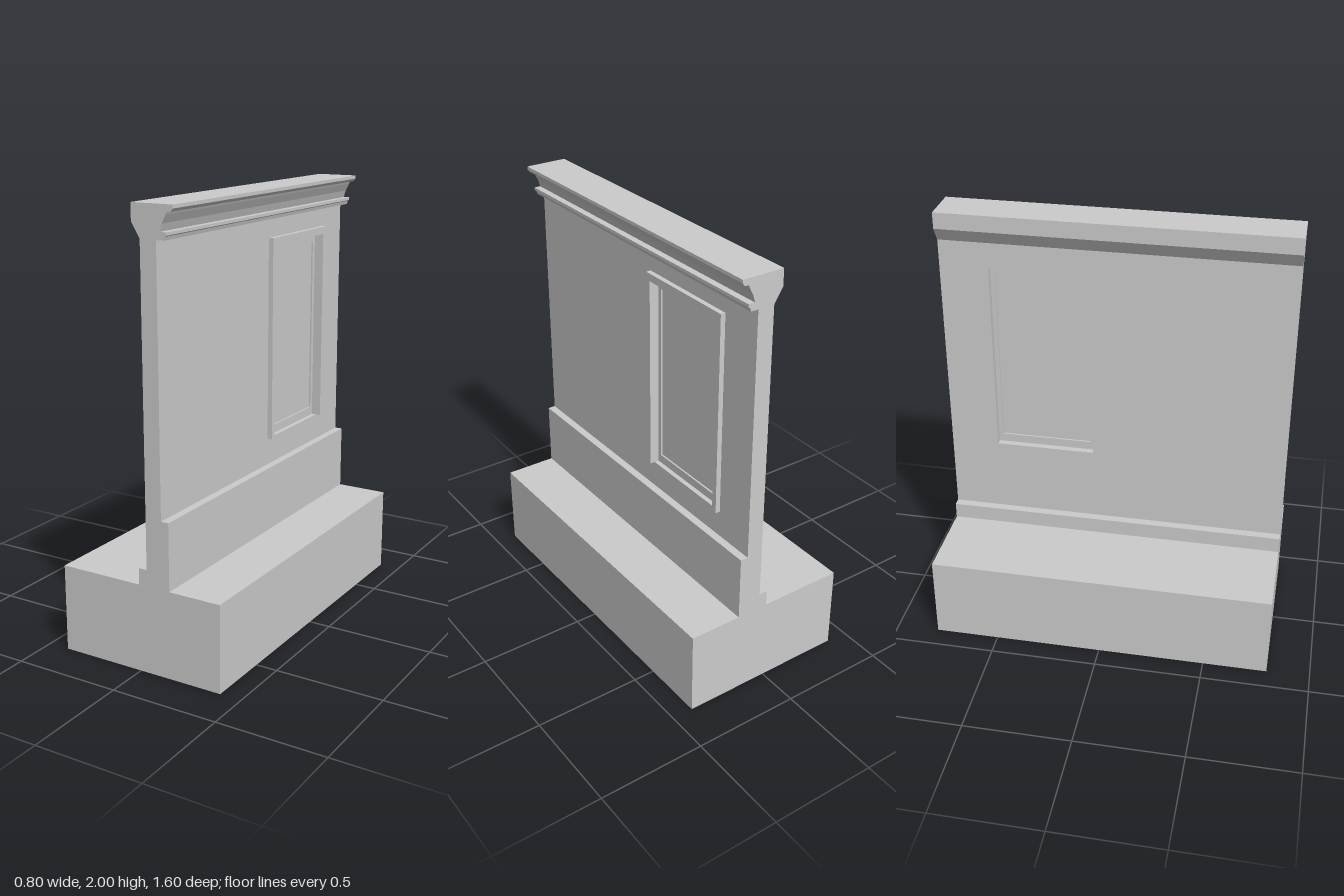
import * as THREE from 'three';

const LENGTH = 1.6;
const WALL_BACK = 0.04, WALL_FRONT = 0.117;
// Window opening, measured along -z (u) and y
const OPEN = { u0: 0.11, u1: 0.575, y0: 0.83, y1: 1.735 };

const shapeOf = (pts) => new THREE.Shape(pts.map(([x, y]) => new THREE.Vector2(x, y)));
const rect = (u0, y0, u1, y1) => [[u0, y0], [u1, y0], [u1, y1], [u0, y1]];
const extrude = (shape, depth) => new THREE.ExtrudeGeometry(shape, { depth, bevelEnabled: false });

// x/y moulding profile swept along the full length of the wall
function sweepAlongZ(pts) {
  return extrude(shapeOf(pts), LENGTH).translate(0, 0, -LENGTH / 2);
}

// Outline drawn on the wall face (u = -z), given thickness from x0 to x1
function panel(outline, x0, x1, hole) {
  const shape = shapeOf(outline);
  if (hole) shape.holes.push(shapeOf(hole));
  return extrude(shape, x1 - x0).rotateY(Math.PI / 2).translate(x0, 0, 0);
}

export function createModel() {
  const group = new THREE.Group();
  const material = new THREE.MeshStandardMaterial({ color: 0xcccccc });
  const add = (name, geometry) => {
    const mesh = new THREE.Mesh(geometry, material);
    mesh.name = name;
    group.add(mesh);
  };
  const { u0, u1, y0, y1 } = OPEN;

  add('floorSlab', new THREE.BoxGeometry(0.8, 0.4, LENGTH).translate(0, 0.2, 0));

  // Thick outer plinth with a low skirting on the inner side
  add('plinth', sweepAlongZ([
    [0, 0.4], [0.153, 0.4], [0.153, 0.705], [WALL_BACK, 0.705], [WALL_BACK, 0.475], [0, 0.475],
  ]));

  add('wall', panel(rect(-0.8, 0.705, 0.8, 1.86), WALL_BACK, WALL_FRONT, rect(u0, y0, u1, y1)));

  // Stepped outer moulding, sloped inner side
  add('cornice', sweepAlongZ([
    [WALL_BACK, 1.86], [0.153, 1.86], [0.157, 1.875], [0.165, 1.88], [0.165, 1.893],
    [0.135, 1.893], [0.145, 1.925], [0.163, 1.96], [0.168, 1.972], [0.187, 1.972],
    [0.197, 1.985], [0.197, 2], [0, 2], [0, 1.925],
  ]));

  // Raised surround on both sides and over the top of the opening
  const t = 0.026, top = y1 + 0.035;
  add('windowSurround', panel([
    [u0 - t, y0], [u0, y0], [u0, y1], [u1, y1], [u1, y0], [u1 + t, y0], [u1 + t, top], [u0 - t, top],
  ], WALL_FRONT, 0.14));

  // Sash frame and pane set back inside the opening
  const inner = rect(u0 + 0.02, y0 + 0.04, u1 - 0.02, y1 - 0.04);
  add('windowSash', panel(rect(u0, y0, u1, y1), 0.07, 0.095, inner));
  add('windowPane', panel(inner, 0.078, 0.087));

  return group;
}
